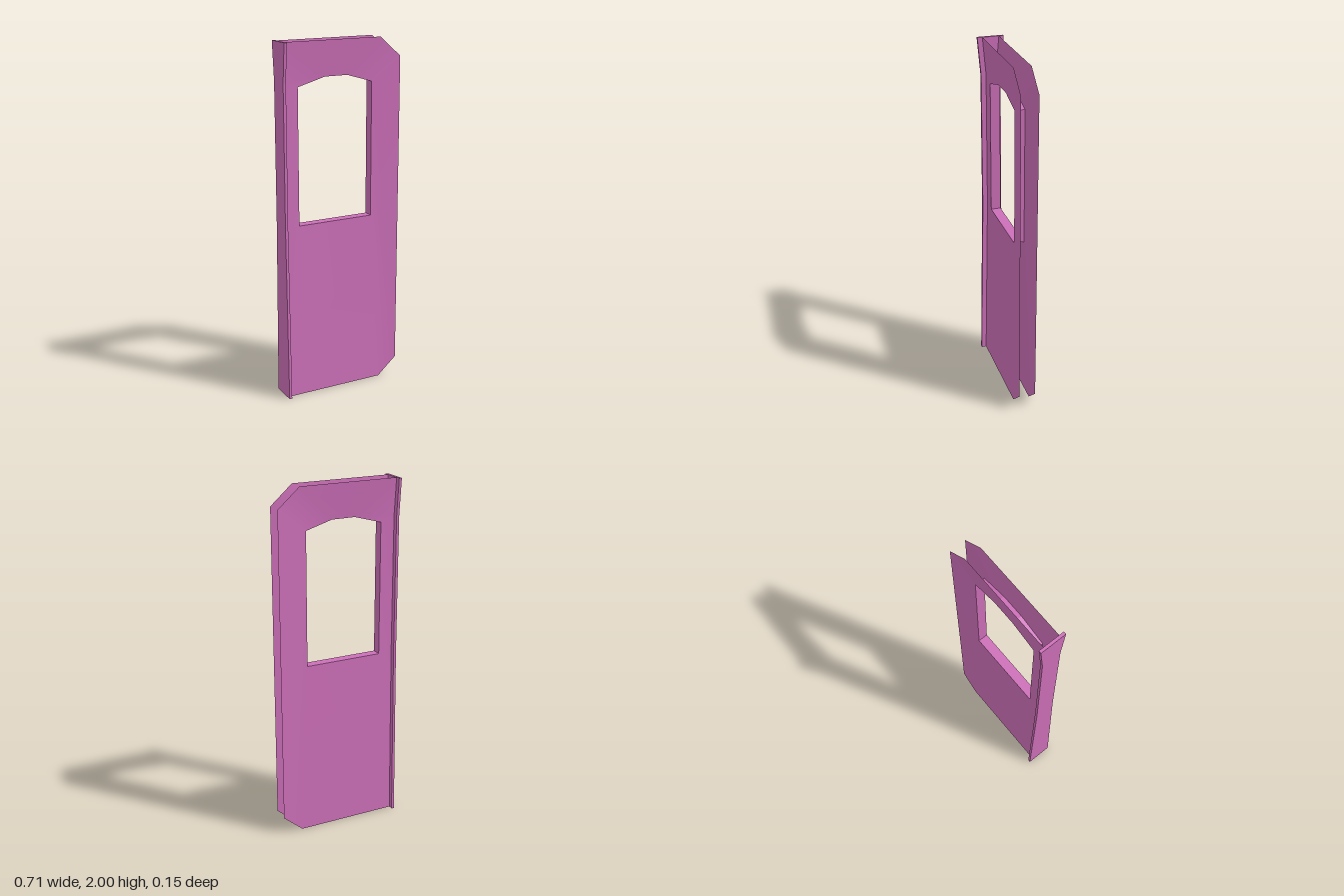
import * as THREE from 'three';

const OUT = 0.047, IN = 0.028; // half depth at the rim and around the window
const material = new THREE.MeshStandardMaterial({ color: 0xcc6fb8, side: THREE.DoubleSide });

// Window outline, clockwise from the lower hinge-side corner
const opening = [[-0.26, 1], [-0.26, 1.76], [-0.1, 1.805], [0.035, 1.805], [0.187, 1.76], [0.187, 1]];

function surface(points, index) {
  const g = new THREE.BufferGeometry();
  g.setAttribute('position', new THREE.Float32BufferAttribute(points.flat(), 3));
  g.setIndex(index);
  return g;
}

// One pressed skin: window ring (0-5) joined to the outer ring (6-13)
function skin(side) {
  const outer = [
    [-0.341, 0, OUT], [-0.341, 1, IN], [-0.341, 1.79, IN], [-0.341, 2, OUT],
    [0.23, 2, OUT], [0.355, 1.89, OUT], [0.355, 0.1, OUT], [0.24, 0, OUT],
  ];
  const points = [...opening.map(([x, y]) => [x, y, IN]), ...outer].map(([x, y, z]) => [x, y, z * side]);
  const faces = [
    [6, 13, 5], [6, 5, 0], [6, 0, 7], [7, 0, 1], [7, 1, 8], [8, 1, 2], [9, 8, 2],
    [9, 2, 10], [10, 2, 3], [10, 3, 4], [10, 4, 11], [11, 4, 12], [12, 4, 5], [12, 5, 13],
  ];
  const g = surface(points, faces.flatMap((f) => (side > 0 ? f : [f[0], f[2], f[1]])));
  g.computeVertexNormals();
  return g;
}

// Lining of the window opening between the two skins
function reveal() {
  const points = opening.flatMap(([x, y]) => [[x, y, IN], [x, y, -IN]]);
  const index = [];
  opening.forEach((_, i) => {
    const a = 2 * i, b = 2 * ((i + 1) % opening.length);
    index.push(a, a + 1, b, b, a + 1, b + 1);
  });
  const g = surface(points, index).toNonIndexed();
  g.computeVertexNormals();
  return g;
}

// Edge plate, waisted to follow the skins
function edgePlate() {
  const half = [[0.075, 0], [0.056, 1], [0.056, 1.79], [0.075, 2]];
  const outline = [...half, ...half.map(([z, y]) => [-z, y]).reverse()];
  const shape = new THREE.Shape(outline.map(([z, y]) => new THREE.Vector2(z, y)));
  const g = new THREE.ExtrudeGeometry(shape, { depth: 0.016, bevelEnabled: false });
  return g.rotateY(Math.PI / 2).translate(-0.357, 0, 0);
}

export function createModel() {
  const door = new THREE.Group();
  door.name = 'door';
  const add = (name, geometry) => {
    const mesh = new THREE.Mesh(geometry, material);
    mesh.name = name;
    door.add(mesh);
  };
  add('frontSkin', skin(1));
  add('backSkin', skin(-1));
  add('windowReveal', reveal());
  add('edgePlate', edgePlate());
  return door;
}
